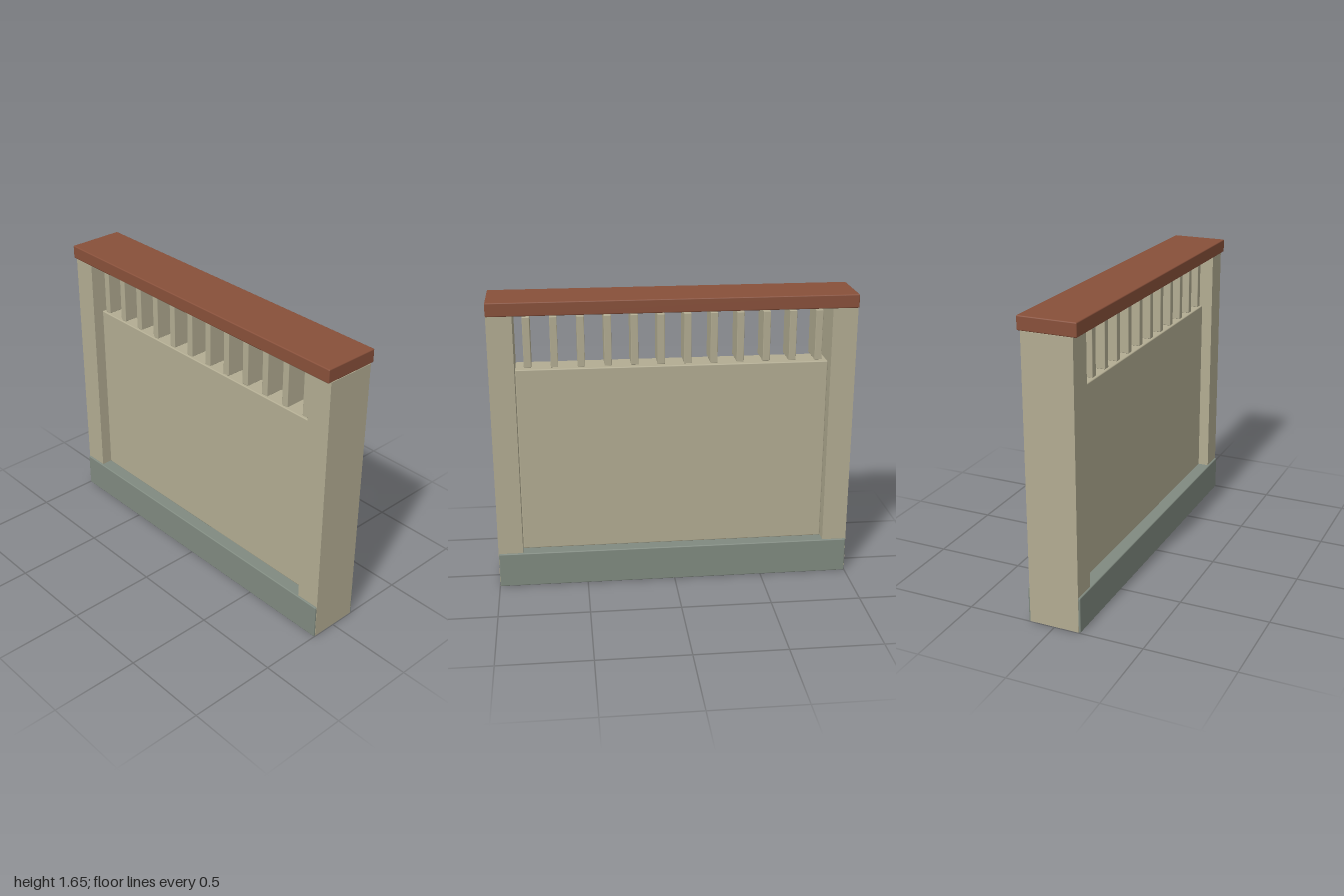
import * as THREE from 'three';
import { RoundedBoxGeometry } from 'three/addons/geometries/RoundedBoxGeometry.js';

const paint = (name, color) => {
  const m = new THREE.MeshStandardMaterial({ color });
  m.name = name;
  return m;
};

export function createModel() {
  const plaster = paint('plaster', 0xb2ac92);
  const stone = paint('stone', 0x808a80);
  const tile = paint('tile', 0x88503a);
  const model = new THREE.Group();
  model.name = 'wallSection';

  // Box spanning y0..y1, centred on x and z = 0, with an optional softened edge
  const block = (name, material, x, y0, y1, width, depth, bevel = 0) => {
    const height = y1 - y0;
    const geometry = bevel
      ? new RoundedBoxGeometry(width, height, depth, 2, bevel)
      : new THREE.BoxGeometry(width, height, depth);
    const mesh = new THREE.Mesh(geometry, material);
    mesh.name = name;
    mesh.position.set(x, (y0 + y1) / 2, 0);
    model.add(mesh);
  };

  // Stone footing and tile coping
  block('base', stone, 0, 0, 0.2, 1.996, 0.3, 0.006);
  block('cap', tile, 0, 1.575, 1.65, 2, 0.32, 0.006);

  // End posts, running down through the footing
  for (const side of [-1, 1]) {
    block(side > 0 ? 'leftPost' : 'rightPost', plaster, side * 0.931, 0.002, 1.575, 0.138, 0.28);
  }

  // Recessed wall panel
  block('panel', plaster, 0, 0.2, 1.26, 1.72, 0.16, 0.006);

  // Row of upright slats in the opening
  for (let i = 0; i < 12; i++) {
    block('slat' + (i + 1), plaster, -0.803 + i * 0.145, 1.27, 1.55, 0.04, 0.16, 0.003);
  }
  return model;
}
